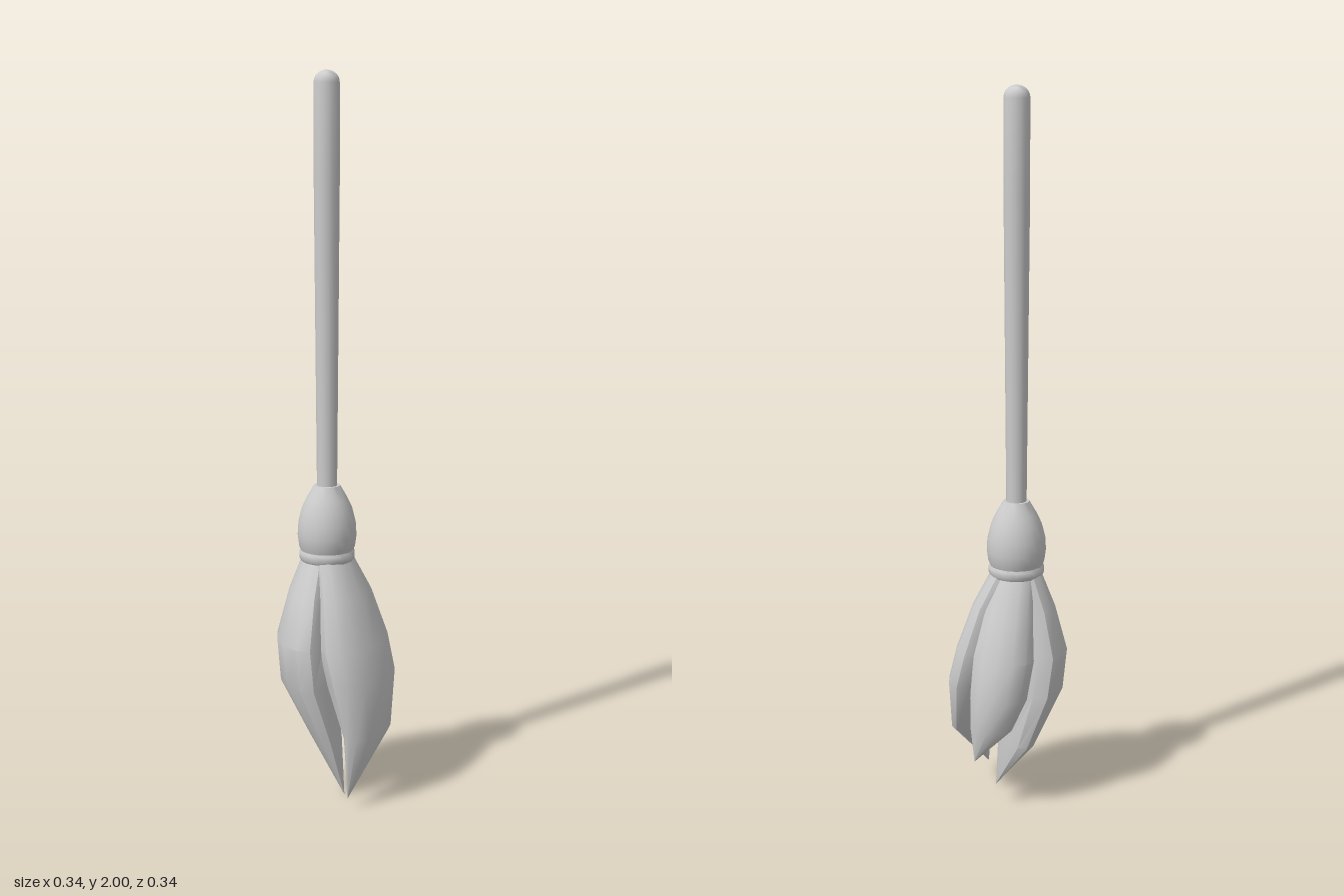
import * as THREE from 'three';
import { toCreasedNormals } from 'three/addons/utils/BufferGeometryUtils.js';

const material = new THREE.MeshStandardMaterial({ color: 0xcccccc });
const AXIS_X = -0.005, AXIS_Z = -0.022;

// Turned part around the broom's axis; profile runs bottom to top as [radius, y]
function turned(name, profile, segments, crease) {
  const lathe = new THREE.LatheGeometry(profile.map(([r, y]) => new THREE.Vector2(r, y)), segments);
  const mesh = new THREE.Mesh(toCreasedNormals(lathe, crease), material);
  mesh.name = name;
  mesh.position.set(AXIS_X, 0, AXIS_Z);
  return mesh;
}

// Bristle clump: elliptical rings [y, x, z, half width, half depth] that close to a point.
// (dx, dz) is the direction the clump faces away from the axis.
function clump(name, dx, dz, rings) {
  const sides = 12, positions = [], index = [];
  for (const [y, x, z, width, depth] of rings) {
    for (let j = 0; j < sides; j++) {
      const a = (j / sides) * Math.PI * 2;
      const r = depth * Math.cos(a), t = width * Math.sin(a);
      positions.push(x + r * dx - t * dz, y, z + r * dz + t * dx);
    }
  }
  const last = rings.length - 2;
  for (let i = 0; i <= last; i++) {
    for (let j = 0; j < sides; j++) {
      const k = (j + 1) % sides;
      const a = i * sides + j, b = i * sides + k, c = a + sides, d = b + sides;
      index.push(a, b, d);
      if (i < last) index.push(a, d, c);
    }
  }
  // Top cap, hidden in the binding
  for (let j = 1; j < sides - 1; j++) index.push(0, j + 1, j);
  const geometry = new THREE.BufferGeometry();
  geometry.setAttribute('position', new THREE.Float32BufferAttribute(positions, 3));
  geometry.setIndex(index);
  const mesh = new THREE.Mesh(toCreasedNormals(geometry, 0.65), material);
  mesh.name = name;
  return mesh;
}

export function createModel() {
  const broom = new THREE.Group();
  broom.name = 'broom';

  // Slightly tapered stick with a domed end
  const stick = [[0, 0.86], [0.028, 0.86], [0.035, 1.7]];
  for (let i = 0; i <= 6; i++) {
    const a = (i / 6) * Math.PI / 2;
    stick.push([i === 6 ? 0 : 0.035 * Math.cos(a), 1.968 + 0.032 * Math.sin(a)]);
  }
  broom.add(turned('handle', stick, 16, 0.7));

  // Rounded head and the binding ring under it
  broom.add(turned('head', [
    [0, 0.69], [0.07, 0.69], [0.078, 0.71], [0.082, 0.74], [0.08, 0.775],
    [0.07, 0.815], [0.056, 0.845], [0.036, 0.88], [0, 0.88],
  ], 24, 0.7));
  broom.add(turned('binding', [
    [0, 0.668], [0.072, 0.668], [0.077, 0.676], [0.077, 0.692], [0.072, 0.7], [0, 0.7],
  ], 24, 0.7));

  // Three overlapping bristle clumps
  broom.add(clump('frontBristles', 0, 1, [
    [0.68, -0.005, 0.0, 0.066, 0.045],
    [0.58, -0.005, 0.04, 0.1, 0.055],
    [0.45, -0.008, 0.072, 0.132, 0.07],
    [0.35, -0.01, 0.1, 0.13, 0.07],
    [0.2, -0.02, 0.128, 0.095, 0.043],
    [0.03, -0.11, 0.125, 0, 0],
  ]));
  broom.add(clump('backBristles', -Math.SQRT1_2, -Math.SQRT1_2, [
    [0.68, -0.02, -0.045, 0.06, 0.04],
    [0.58, -0.045, -0.055, 0.1, 0.055],
    [0.45, -0.066, -0.06, 0.135, 0.073],
    [0.33, -0.06, -0.05, 0.125, 0.075],
    [0.17, -0.03, -0.01, 0.1, 0.045],
    [0.0, -0.035, 0.06, 0, 0],
  ]));
  broom.add(clump('leftBristles', 0.98, -0.2, [
    [0.68, 0.02, -0.03, 0.055, 0.035],
    [0.56, 0.06, -0.03, 0.072, 0.05],
    [0.45, 0.085, -0.03, 0.087, 0.066],
    [0.34, 0.1, -0.022, 0.082, 0.07],
    [0.25, 0.122, -0.01, 0.06, 0.045],
    [0.15, 0.145, 0.03, 0, 0],
  ]));

  return broom;
}
